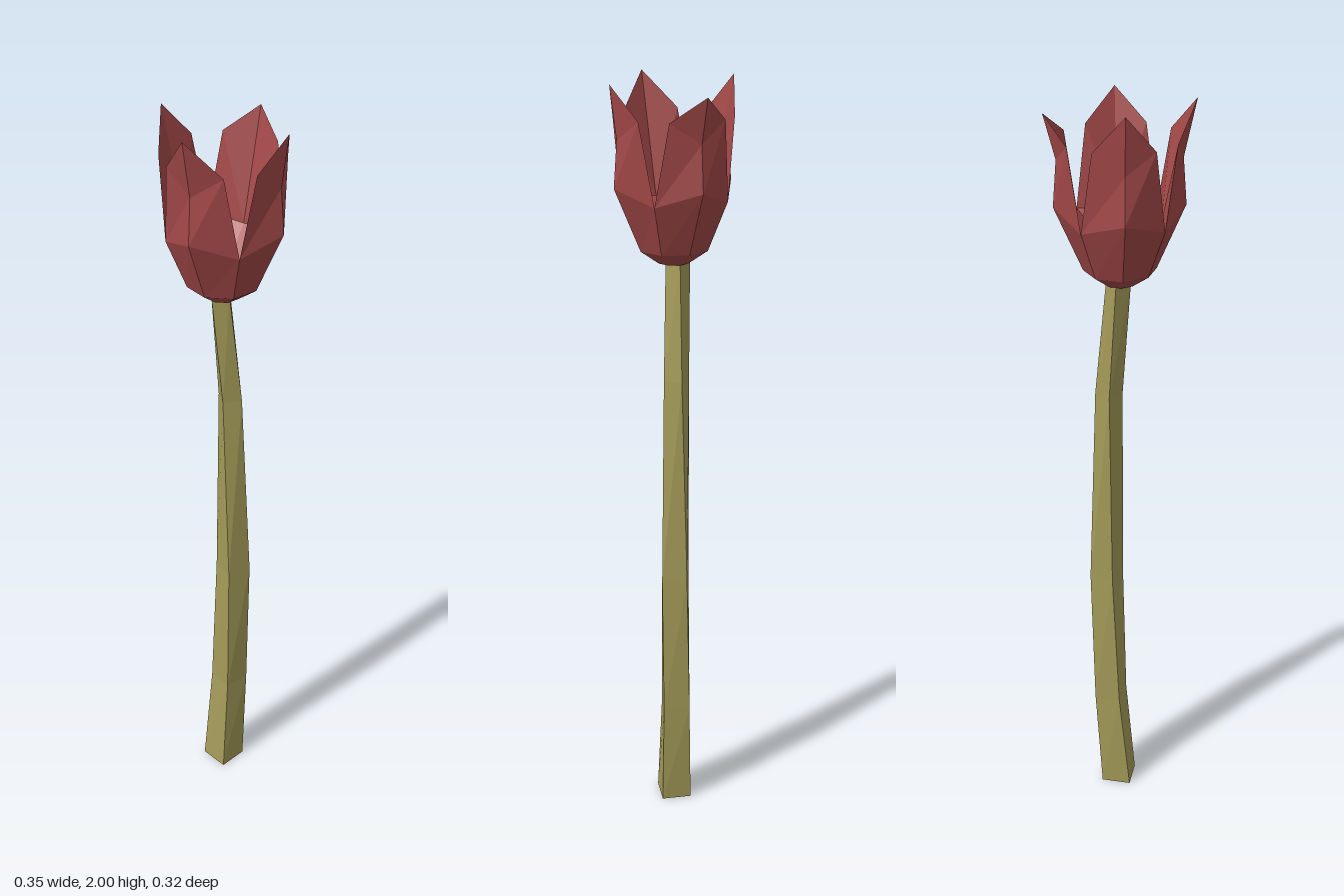
import * as THREE from 'three';

const red = new THREE.MeshStandardMaterial({ color: 0xa34848 });
red.name = 'petalRed';
const green = new THREE.MeshStandardMaterial({ color: 0xa39a58 });
green.name = 'stemOlive';

// Faceted mesh from polygons (triangles or quads listed counter-clockwise)
function facetMesh(name, polygons, material) {
  const pos = [];
  for (const p of polygons) {
    for (let i = 1; i < p.length - 1; i++) pos.push(...p[0], ...p[i], ...p[i + 1]);
  }
  const g = new THREE.BufferGeometry();
  g.setAttribute('position', new THREE.Float32BufferAttribute(pos, 3));
  g.computeVertexNormals();
  const mesh = new THREE.Mesh(g, material);
  mesh.name = name;
  return mesh;
}

// Four-sided stem that bends and twists as it rises
function makeStem() {
  // y, centre x, centre z, corner radius, twist in degrees
  const sections = [
    [0, 0.005, -0.005, 0.057, 0],
    [0.3, 0.028, -0.005, 0.05, 5],
    [0.7, 0.039, -0.002, 0.047, 14],
    [1.25, 0.03, -0.006, 0.035, 32],
    [1.56, 0.003, -0.014, 0.031, 45],
  ];
  const rings = sections.map(([y, cx, cz, r, twist]) => [0, 1, 2, 3].map((k) => {
    const a = THREE.MathUtils.degToRad(45 + twist + 90 * k);
    return [cx + r * Math.cos(a), y, cz + r * Math.sin(a)];
  }));
  const faces = [rings[0], [...rings[rings.length - 1]].reverse()];
  for (let i = 0; i < rings.length - 1; i++) {
    for (let k = 0; k < 4; k++) {
      const n = (k + 1) % 4;
      faces.push([rings[i][n], rings[i][k], rings[i + 1][k], rings[i + 1][n]]);
    }
  }
  return facetMesh('stem', faces, green);
}

// One petal covering a quarter turn: outer shell, pointed tip and inner lining
function makePetal(angle, tipHeight, tipRadius) {
  const faces = [];
  for (const side of [1, -1]) {
    const pt = (deg, r, y) => {
      const a = THREE.MathUtils.degToRad(deg * side);
      return [r * Math.sin(a), y, r * Math.cos(a)];
    };
    const base = pt(0, 0, 1.55), floor = pt(0, 0, 1.6);
    const baseMid = pt(0, 0.04, 1.55), baseEdge = pt(45, 0.04, 1.55);
    const lowMid = pt(0, 0.09, 1.585), lowEdge = pt(45, 0.09, 1.585);
    const notch = pt(45, 0.14, 1.71), shoulder = pt(30, 0.148, 1.91);
    const wide = pt(0, 0.16, 1.745), waist = pt(0, 0.151, 1.86);
    const tip = pt(0, tipRadius, tipHeight), inner = pt(0, 0.1, 1.7);
    const half = [
      [base, baseEdge, baseMid],
      [baseMid, baseEdge, lowEdge, lowMid],
      [lowMid, lowEdge, notch, wide],
      [wide, notch, shoulder, waist],
      [waist, shoulder, tip],
      [floor, inner, notch],
      [inner, shoulder, notch],
      [inner, tip, shoulder],
    ];
    faces.push(...half.map((f) => (side > 0 ? f : f.reverse())));
  }
  const petal = facetMesh('petal', faces, red);
  petal.rotation.y = THREE.MathUtils.degToRad(angle);
  return petal;
}

export function createModel() {
  const model = new THREE.Group();
  model.name = 'flower';
  model.add(makeStem());

  // Blossom of four petals, turned slightly off the axes
  const blossom = new THREE.Group();
  blossom.name = 'blossom';
  const tips = [[1.99, 0.168], [1.97, 0.18], [2, 0.164], [2, 0.181]];
  tips.forEach(([y, r], i) => blossom.add(makePetal(16 + 90 * i, y, r)));
  blossom.position.set(0.002, 0, -0.003);
  model.add(blossom);
  return model;
}
